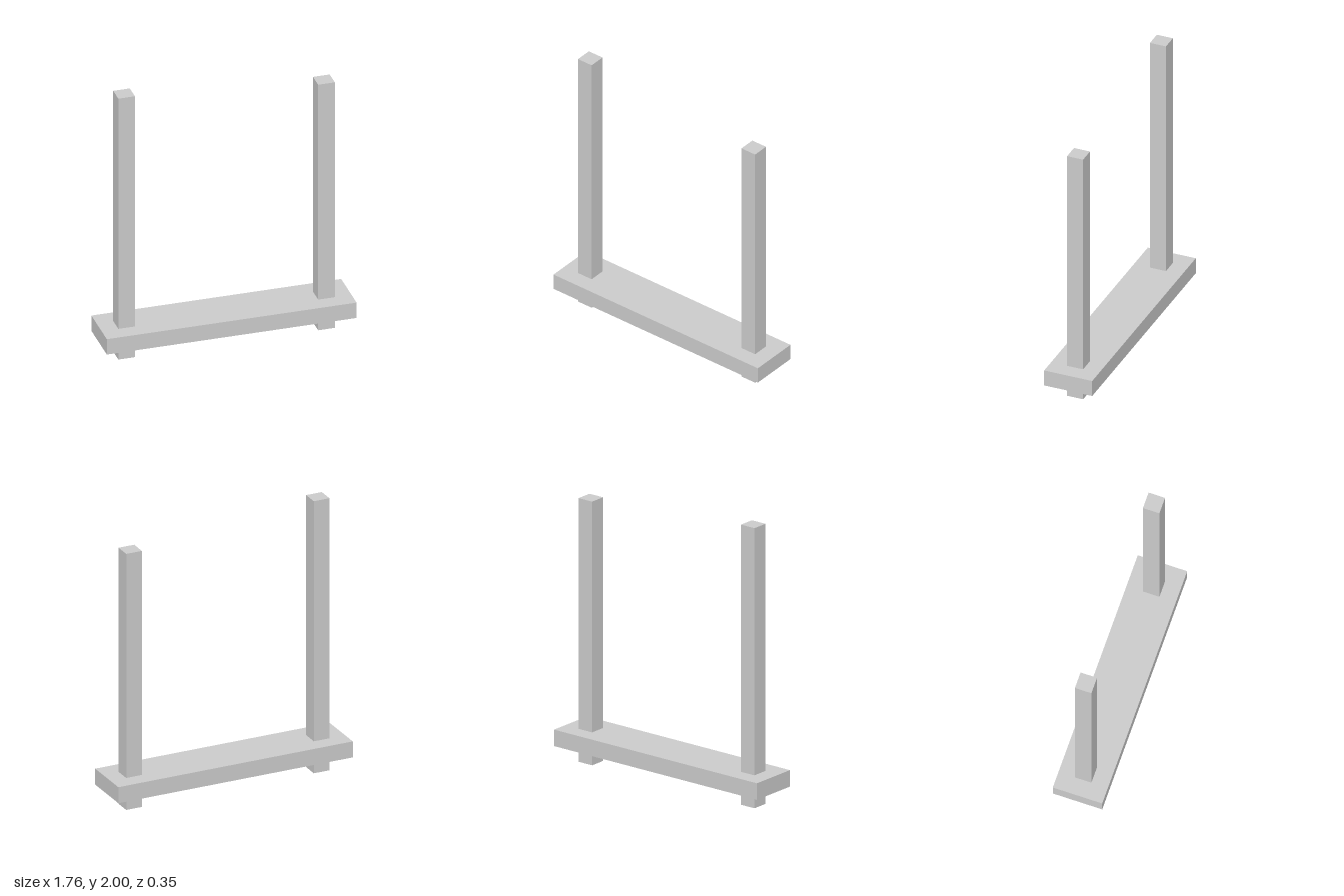
import * as THREE from 'three';

const U = 2 / 17; // timber thickness; every size is a multiple of it

export function createModel() {
  const model = new THREE.Group();
  model.name = 'plankWithPosts';
  const material = new THREE.MeshStandardMaterial({ color: 0xcccccc, flatShading: true });

  // Box measured in timber units, placed by its centre x and its bottom y
  function addBeam(name, width, height, depth, x, bottom) {
    const beam = new THREE.Mesh(new THREE.BoxGeometry(width * U, height * U, depth * U), material);
    beam.name = name;
    beam.position.set(x * U, (bottom + height / 2) * U, 0);
    model.add(beam);
  }

  // Horizontal plank, raised one unit off the ground
  addBeam('plank', 15, 1, 3, 0, 1);

  // Square posts passing through the plank, the right one taller
  addBeam('rightPost', 1, 17, 1, -6, 0);
  addBeam('leftPost', 1, 16, 1, 6, 0);

  return model;
}
